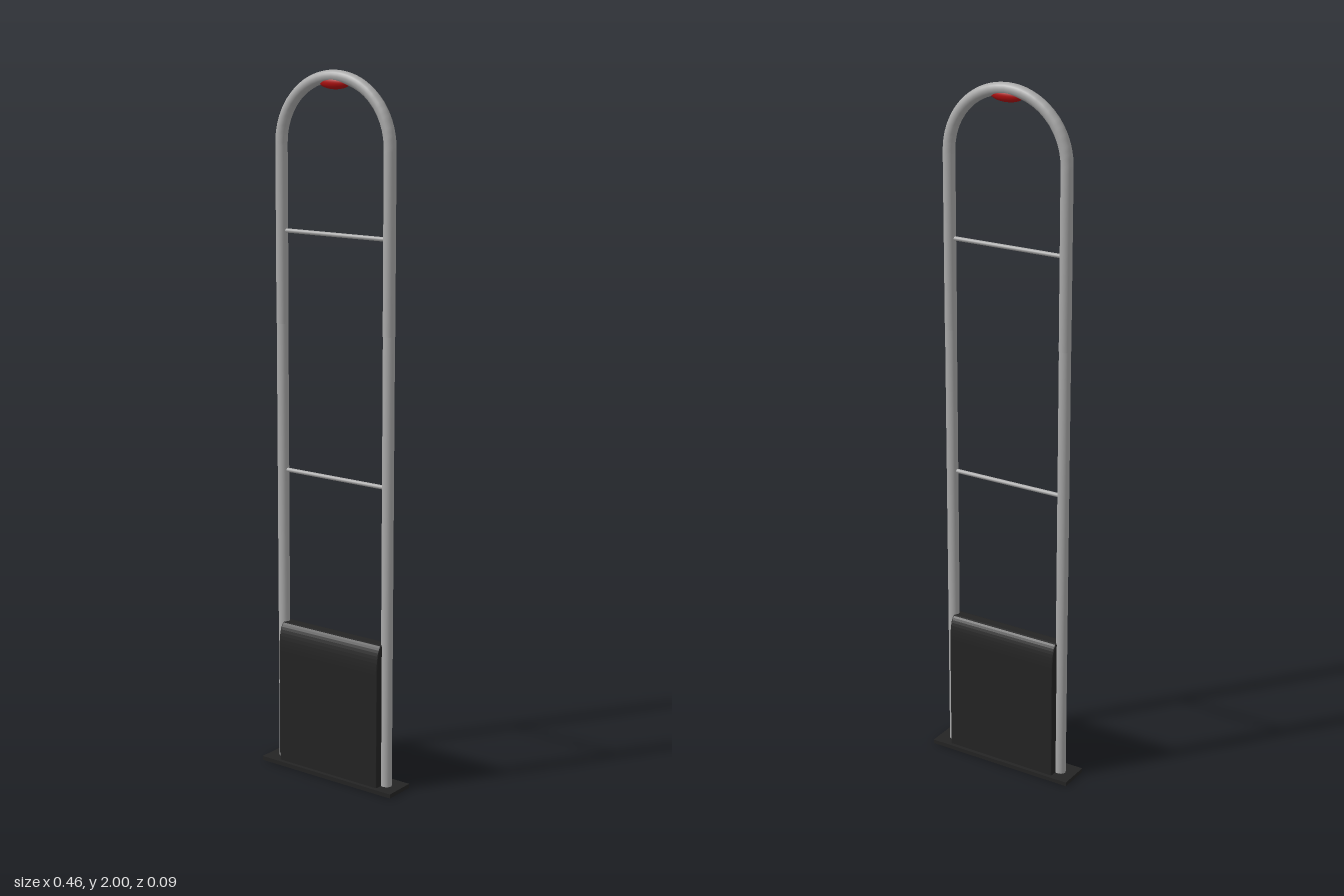
import * as THREE from 'three';

export function createModel() {
  const model = new THREE.Group();
  model.name = 'securityGate';
  const material = (name, color) => {
    const m = new THREE.MeshStandardMaterial({ color });
    m.name = name;
    return m;
  };
  const metal = material('greyMetal', 0xa9a9a9);
  const black = material('blackPlastic', 0x242424);
  const red = material('redLamp', 0xb01010);

  const add = (name, geometry, mat, x = 0, y = 0, z = 0) => {
    const mesh = new THREE.Mesh(geometry, mat);
    mesh.name = name;
    mesh.position.set(x, y, z);
    model.add(mesh);
    return mesh;
  };

  const legX = 0.183, radius = 0.017, archY = 1.8, joinY = 1.3, baseTop = 0.012;

  // Arched top of the tube frame
  const arch = new THREE.CurvePath();
  arch.add(new THREE.LineCurve3(new THREE.Vector3(legX, joinY, 0), new THREE.Vector3(legX, archY, 0)));
  const bend = [];
  for (let i = 0; i <= 24; i++) {
    const a = (i / 24) * Math.PI;
    bend.push(new THREE.Vector3(legX * Math.cos(a), archY + legX * Math.sin(a), 0));
  }
  for (let i = 0; i < 24; i++) arch.add(new THREE.LineCurve3(bend[i], bend[i + 1]));
  arch.add(new THREE.LineCurve3(new THREE.Vector3(-legX, archY, 0), new THREE.Vector3(-legX, joinY, 0)));
  add('archTube', new THREE.TubeGeometry(arch, 160, radius, 20, false), metal);

  // Straight lower legs, slightly slimmer from the side
  for (const side of [1, -1]) {
    const leg = new THREE.CylinderGeometry(radius, radius, joinY - baseTop, 20);
    leg.scale(1, 1, 0.9);
    add(side > 0 ? 'leftLeg' : 'rightLeg', leg, metal, side * legX, (joinY + baseTop) / 2);
  }

  // Cross bars
  for (const y of [0.88, 1.56]) {
    const bar = new THREE.CylinderGeometry(0.006, 0.006, legX * 2, 12);
    add('crossBar', bar.rotateZ(Math.PI / 2), metal, 0, y);
  }

  // Alarm lamp under the arch
  const lamp = new THREE.SphereGeometry(1, 28, 16);
  lamp.scale(0.05, 0.018, 0.016);
  add('alarmLamp', lamp, red, 0, 1.966);

  // Electronics cover with rounded shoulders, extruded across the width
  const bevel = 0.004, halfWidth = 0.175;
  const d = 0.036 - bevel, top = 0.43 - bevel;
  const profile = new THREE.Shape();
  profile.moveTo(-d, baseTop);
  profile.lineTo(d, baseTop);
  profile.lineTo(d, 0.35);
  profile.bezierCurveTo(d, 0.385, 0.026, top, 0.012, top);
  profile.lineTo(-0.012, top);
  profile.bezierCurveTo(-0.026, top, -d, 0.385, -d, 0.35);
  profile.closePath();
  const cover = new THREE.ExtrudeGeometry(profile, {
    depth: 2 * (halfWidth - bevel), curveSegments: 10,
    bevelEnabled: true, bevelSize: bevel, bevelThickness: bevel, bevelSegments: 3,
  });
  cover.translate(0, 0, -(halfWidth - bevel)).rotateY(Math.PI / 2);
  add('electronicsCover', cover, black);

  // Floor plate
  add('basePlate', new THREE.BoxGeometry(0.46, baseTop, 0.094), black, 0, baseTop / 2);

  return model;
}
